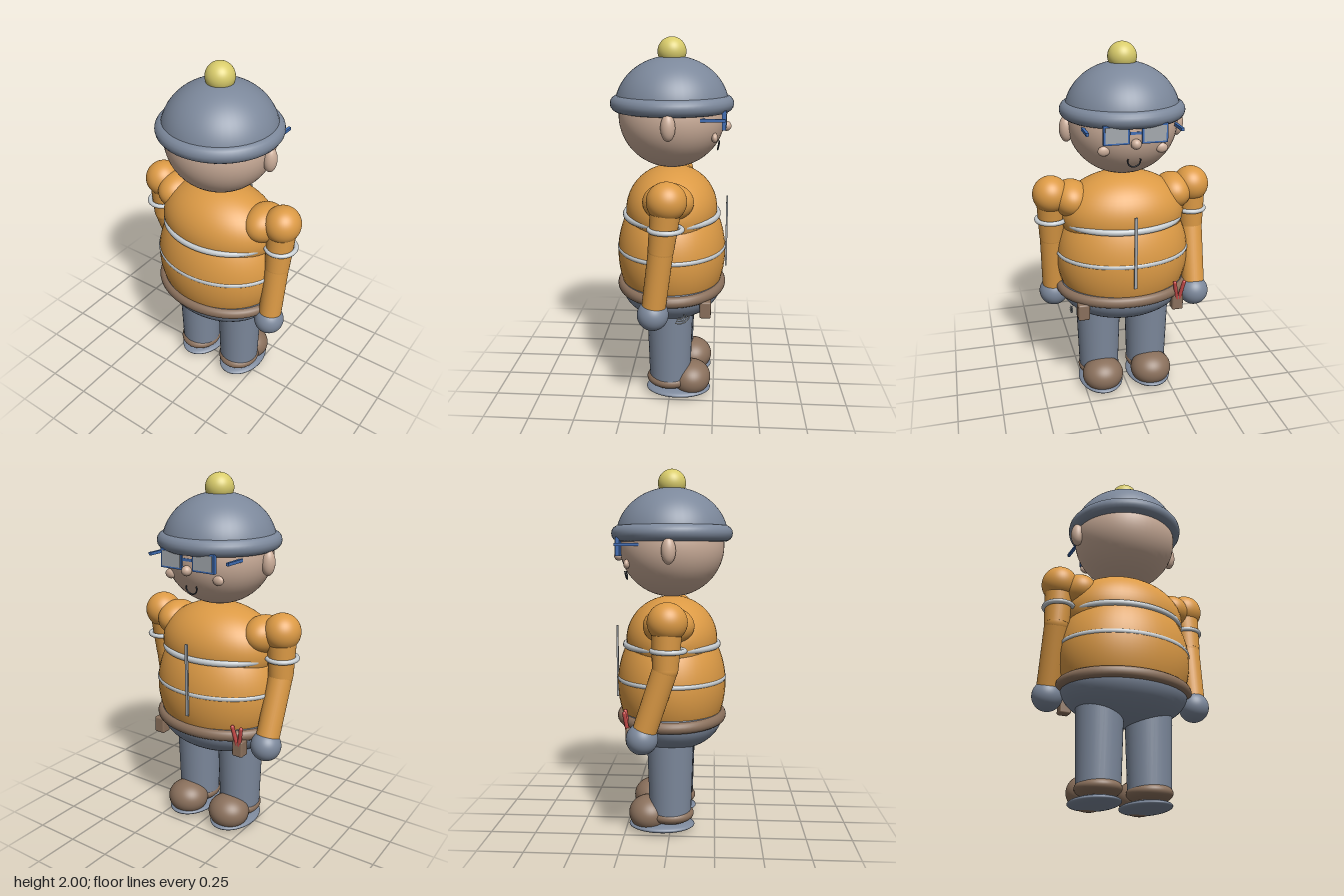
import * as THREE from 'three';
import { RoundedBoxGeometry } from 'three/addons/geometries/RoundedBoxGeometry.js';

const paint = (name, color) => {
  const m = new THREE.MeshStandardMaterial({ color });
  m.name = name;
  return m;
};

export function createModel() {
  const slate = paint('slate', 0x7c889b);
  const orange = paint('orange', 0xdc9a45);
  const skin = paint('skin', 0xcdaf9b);
  const brown = paint('brown', 0x8a705c);
  const yellow = paint('yellow', 0xd9cc6b);
  const blue = paint('blue', 0x3f6db5);
  const silver = paint('silver', 0xc8ced2);
  const grey = paint('grey', 0xa4a9ae);
  const red = paint('red', 0xc64a48);
  const dark = paint('dark', 0x3a3f48);

  const model = new THREE.Group();
  model.name = 'workman';

  const add = (name, geometry, material, x = 0, y = 0, z = 0) => {
    const mesh = new THREE.Mesh(geometry, material);
    mesh.name = name;
    mesh.position.set(x, y, z);
    model.add(mesh);
    return mesh;
  };
  const ball = (name, material, [x, y, z], [rx, ry, rz], thetaLength = Math.PI) =>
    add(name, new THREE.SphereGeometry(1, 48, 32, 0, Math.PI * 2, 0, thetaLength).scale(rx, ry, rz), material, x, y, z);
  const ring = (name, material, [x, y, z], radius, tube, depth = 1, height = 1) =>
    add(name, new THREE.TorusGeometry(radius, tube, 16, 64).rotateX(Math.PI / 2).scale(1, height, depth), material, x, y, z);
  // Tapered rod from point a to point b
  const rod = (name, material, a, b, ra, rb = ra) => {
    const from = new THREE.Vector3(...a), to = new THREE.Vector3(...b);
    const dir = to.clone().sub(from);
    const mesh = add(name, new THREE.CylinderGeometry(rb, ra, dir.length(), 32), material);
    mesh.position.copy(from).addScaledVector(dir, 0.5);
    mesh.quaternion.setFromUnitVectors(new THREE.Vector3(0, 1, 0), dir.normalize());
    return mesh;
  };

  // Head and hat
  ball('head', skin, [0, 1.585, 0], [0.297, 0.28, 0.29]);
  ball('hatDome', slate, [0, 1.63, 0], [0.31, 0.272, 0.31], Math.PI / 2);
  ring('hatBrim', slate, [0, 1.652, 0], 0.291, 0.045);
  ball('pompom', yellow, [0, 1.923, 0], [0.077, 0.077, 0.077]);

  // Face
  ball('nose', skin, [0, 1.53, -0.297], [0.027, 0.027, 0.027]);
  const mouth = add('mouth', new THREE.TorusGeometry(0.034, 0.004, 8, 32, 3.9), dark, 0, 1.433, -0.258);
  mouth.rotation.set(-0.2, 0, Math.PI * 1.5 - 1.95);
  add('glassesBridge', new THREE.BoxGeometry(0.06, 0.014, 0.014), blue, 0, 1.585, -0.285);
  for (const s of [-1, 1]) {
    ball('ear', skin, [s * 0.305, 1.558, 0], [0.037, 0.07, 0.038]);
    ball('cheek', skin, [s * 0.153, 1.487, -0.235], [0.032, 0.026, 0.017]);
    add('glassesFrame', new THREE.BoxGeometry(0.135, 0.1, 0.022), blue, s * 0.1, 1.58, -0.283);
    add('lens', new THREE.BoxGeometry(0.115, 0.08, 0.006), grey, s * 0.1, 1.58, -0.295);
    add('glassesTemple', new THREE.BoxGeometry(0.016, 0.016, 0.13), blue, s * 0.245, 1.59, -0.225);
  }

  // Jacket with reflective bands
  ball('chest', orange, [0, 1.07, 0], [0.35, 0.24, 0.255]);
  ball('belly', orange, [0, 0.82, 0], [0.378, 0.4, 0.305], 2.03);
  ring('chestBand', silver, [0, 1.04, 0], 0.325, 0.017, 0.805);
  ring('bellyBand', silver, [0, 0.855, 0], 0.367, 0.015, 0.805);
  add('zipper', new THREE.BoxGeometry(0.016, 0.41, 0.01), grey, 0, 0.935, -0.31);

  // Hips and belt
  ball('hips', slate, [0, 0.63, 0], [0.362, 0.187, 0.287]);
  ring('belt', brown, [0, 0.636, 0], 0.355, 0.031, 0.8);

  // Arms, one swung to each side
  const arms = [
    { s: -1, elbow: [-0.405, 0.96, -0.01], hand: [-0.395, 0.59, -0.133] },
    { s: 1, elbow: [0.4, 0.94, 0.03], hand: [0.393, 0.58, 0.075] },
  ];
  for (const { s, elbow, hand } of arms) {
    const top = [s * 0.4, 1.2, 0];
    ball('shoulderYoke', orange, [s * 0.29, 1.17, 0], [0.105, 0.103, 0.135]);
    ball('shoulder', orange, top, [0.1, 0.102, 0.104]);
    rod('upperArm', orange, top, elbow, 0.082, 0.068);
    ball('elbow', orange, elbow, [0.067, 0.067, 0.067]);
    rod('forearm', orange, elbow, hand, 0.066, 0.064);
    ball('hand', slate, hand, [0.084, 0.084, 0.084]);
    ring('armBand', silver, [s * 0.402, 1.055, 0.005], 0.08, 0.013, 1.05);
  }

  // Legs and shoes
  for (const s of [-1, 1]) {
    rod('leg', slate, [s * 0.146, 0.08, 0], [s * 0.146, 0.58, 0], 0.116, 0.132);
    ball('shoeHeel', brown, [s * 0.147, 0.095, 0], [0.122, 0.055, 0.132]);
    ball('shoeToe', brown, [s * 0.147, 0.095, -0.12], [0.12, 0.098, 0.113]);
    ball('sole', slate, [s * 0.147, 0.031, -0.048], [0.13, 0.03, 0.184]);
  }

  // Belt pouches with pliers and a bunch of hooks
  for (const s of [-1, 1]) {
    add('pouch', new RoundedBoxGeometry(0.065, 0.095, 0.062, 3, 0.01), brown, s * 0.27, 0.572, -0.2);
    const top = [-0.273 + s * 0.027, 0.7, -0.237];
    rod('plierHandle', red, [-0.273 + s * 0.006, 0.59, -0.22], top, 0.011);
    ball('plierTip', red, top, [0.011, 0.011, 0.011]);
  }
  for (let i = 0; i < 3; i++) {
    const hook = add('hook', new THREE.TorusGeometry(0.03 + i * 0.013, 0.004, 8, 24, 1.9), silver, 0.318, 0.555, -0.06);
    hook.rotation.set(0, Math.PI / 2, Math.PI * 1.5 - 0.4);
  }
  return model;
}
